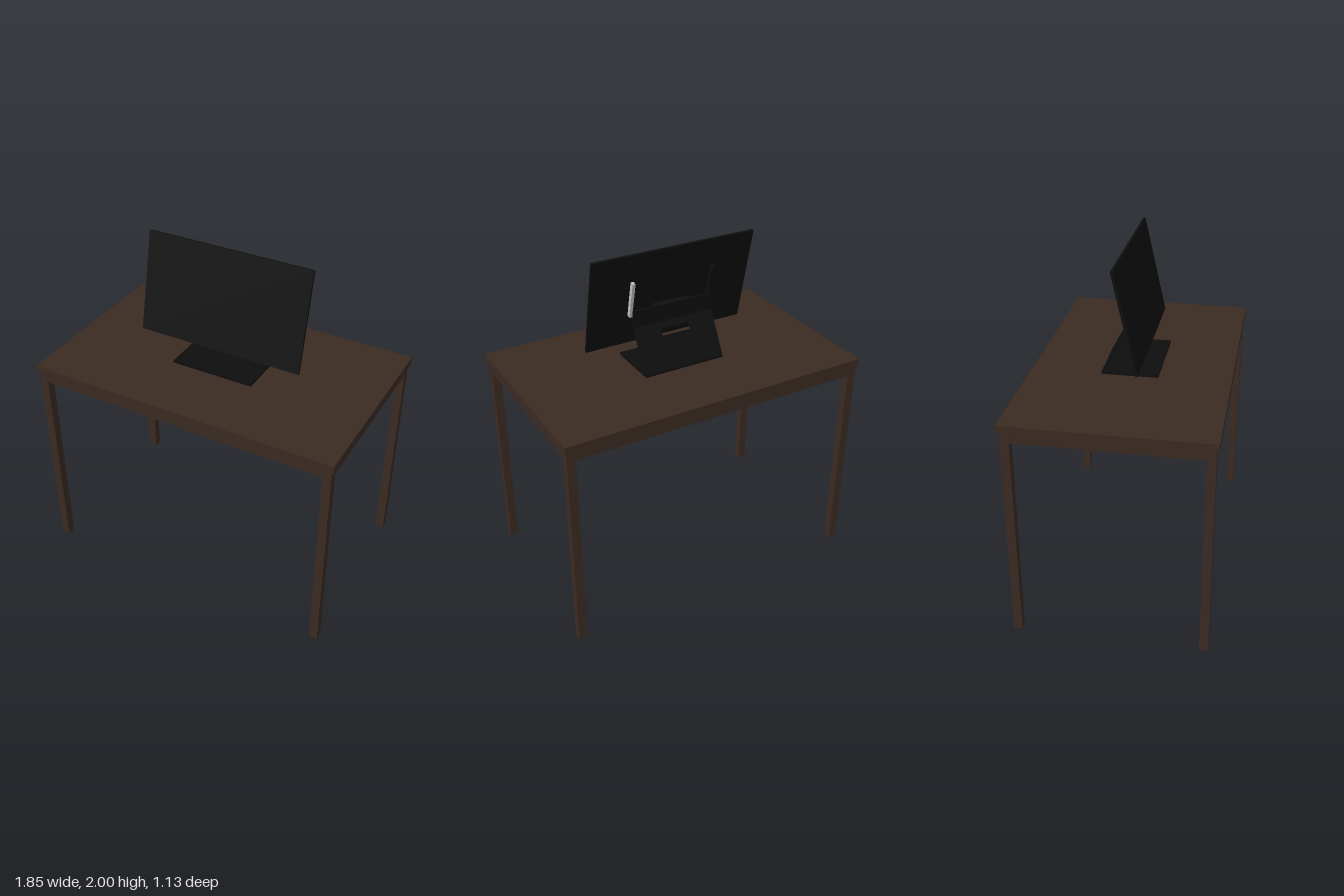
import * as THREE from 'three';

const mat = (name, color) => {
  const m = new THREE.MeshStandardMaterial({ color });
  m.name = name;
  return m;
};

export function createModel() {
  const wood = mat('dark wood', 0x3a2a22);
  const black = mat('black plastic', 0x0e0e0e);
  const grey = mat('light grey', 0xbcbcbc);
  const model = new THREE.Group();

  const add = (parent, name, geo, material, x = 0, y = 0, z = 0) => {
    const mesh = new THREE.Mesh(geo, material);
    mesh.name = name;
    mesh.position.set(x, y, z);
    parent.add(mesh);
    return mesh;
  };
  const box = (parent, name, material, w, h, d, x, y, z) =>
    add(parent, name, new THREE.BoxGeometry(w, h, d), material, x, y, z);
  const group = (name) => {
    const g = new THREE.Group();
    g.name = name;
    model.add(g);
    return g;
  };

  // Table: top, four square legs and aprons between them
  const table = group('table');
  box(table, 'tableTop', wood, 1.85, 0.046, 1.13, 0, 1.285, 0);
  for (const s of [-1, 1]) {
    for (const t of [-1, 1]) box(table, 'leg', wood, 0.05, 1.262, 0.05, s * 0.887, 0.631, t * 0.527);
    box(table, 'longApron', wood, 1.724, 0.058, 0.042, 0, 1.233, s * 0.527);
    box(table, 'sideApron', wood, 0.042, 0.058, 1.004, s * 0.887, 1.233, 0);
  }

  // Bent-plate stand: foot, sloping back with a cable slot, upright tab
  const stand = group('stand');
  box(stand, 'foot', black, 0.5, 0.014, 0.32, 0, 1.321, 0);

  const slopeLength = Math.hypot(0.14, 0.25);
  const panel = new THREE.Shape();
  panel.moveTo(-0.25, 0).lineTo(0.25, 0).lineTo(0.25, slopeLength).lineTo(-0.25, slopeLength).closePath();
  const slot = new THREE.Path();
  slot.moveTo(-0.09, 0.195).lineTo(-0.09, 0.235).lineTo(0.09, 0.235).lineTo(0.09, 0.195).closePath();
  panel.holes.push(slot);
  const slopeGeo = new THREE.ExtrudeGeometry(panel, { depth: 0.012, bevelEnabled: false });
  slopeGeo.translate(0, 0, -0.006);
  const slope = add(stand, 'slopingBack', slopeGeo, black, 0, 1.32, -0.155);
  slope.rotation.x = Math.atan2(0.14, 0.25);
  // Cable cover below the slot
  box(slope, 'cableCover', black, 0.14, 0.17, 0.006, 0, 0.1, -0.008);
  box(stand, 'uprightTab', black, 0.5, 0.1, 0.012, 0, 1.612, -0.019);

  // Hinge barrel between stand and display
  const hinge = add(stand, 'hinge', new THREE.CylinderGeometry(0.024, 0.024, 0.24, 24), black, 0, 1.642, 0.004);
  hinge.rotation.z = Math.PI / 2;

  // Tilted display with side bars on its back
  const display = group('display');
  display.position.set(0, 1.715, 0.018);
  display.rotation.x = -Math.atan2(0.128, 0.57);
  box(display, 'screenPanel', black, 1.0, 0.582, 0.015, 0, 0, 0);
  box(display, 'greyBackBar', grey, 0.018, 0.22, 0.024, 0.25, 0.012, -0.0195);
  box(display, 'blackBackBar', black, 0.018, 0.22, 0.024, -0.25, 0.012, -0.0195);

  return model;
}
